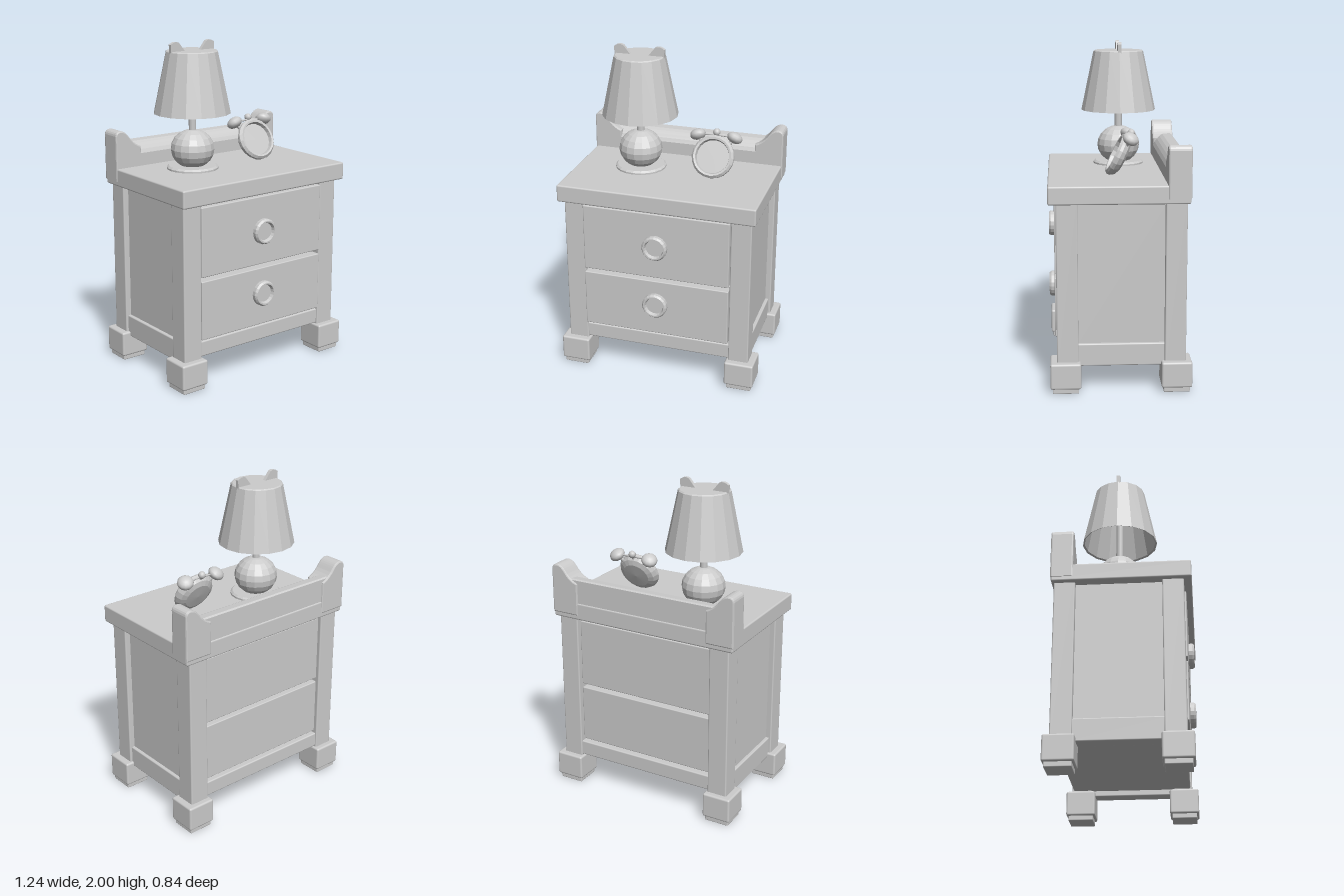
import * as THREE from 'three';
import { RoundedBoxGeometry } from 'three/addons/geometries/RoundedBoxGeometry.js';

const smooth = new THREE.MeshStandardMaterial({ color: 0xcccccc });
const flat = new THREE.MeshStandardMaterial({ color: 0xcccccc, flatShading: true });
const flatDouble = new THREE.MeshStandardMaterial({ color: 0xcccccc, flatShading: true, side: THREE.DoubleSide });

function add(parent, name, geometry, material = smooth, x = 0, y = 0, z = 0) {
  const mesh = new THREE.Mesh(geometry, material);
  mesh.name = name;
  mesh.position.set(x, y, z);
  parent.add(mesh);
  return mesh;
}

// Box with softened edges, given by its limits
function block(parent, name, [x0, x1], [y0, y1], [z0, z1], r = 0.008) {
  return add(parent, name, new RoundedBoxGeometry(x1 - x0, y1 - y0, z1 - z0, 2, r), smooth,
    (x0 + x1) / 2, (y0 + y1) / 2, (z0 + z1) / 2);
}

// Side limits, mirrored for side = -1
const span = (side, a, b) => (side > 0 ? [a, b] : [-b, -a]);
const lathe = (points, sides) => new THREE.LatheGeometry(points.map(p => new THREE.Vector2(...p)), sides);

function createCabinet() {
  const g = new THREE.Group();
  g.name = 'cabinet';
  for (const s of [-1, 1]) {
    // Posts on block feet
    for (const [label, foot, post] of [['front', [0.23, 0.41], [0.245, 0.37]], ['back', [-0.42, -0.24], [-0.385, -0.26]]]) {
      block(g, label + 'Foot', span(s, 0.44, 0.62), [0.03, 0.185], foot, 0.012);
      block(g, label + 'FootPad', span(s, 0.453, 0.607), [0, 0.04], [foot[0] + 0.013, foot[1] - 0.013], 0.006);
      block(g, label + 'Post', span(s, 0.455, 0.58), [0.17, 1.14], post);
    }
    block(g, 'sidePanel', span(s, 0.52, 0.545), [0.27, 1.14], [-0.28, 0.26], 0.004);
    block(g, 'sideRail', span(s, 0.47, 0.565), [0.155, 0.29], [-0.27, 0.255]);
  }
  block(g, 'frontRail', [-0.47, 0.47], [0.19, 0.285], [0.26, 0.36]);
  block(g, 'backRail', [-0.47, 0.47], [0.19, 0.285], [-0.375, -0.27]);
  block(g, 'bottomPanel', [-0.53, 0.53], [0.19, 0.21], [-0.35, 0.34], 0.004);
  block(g, 'tableTop', [-0.61, 0.61], [1.125, 1.232], [-0.4, 0.415], 0.01);

  // Drawers running the full depth, each with a round dished knob
  const knob = lathe([[0.078, -0.005], [0.078, 0.022], [0.069, 0.034], [0.06, 0.034], [0.053, 0.014], [0, 0.014]], 20);
  knob.rotateX(Math.PI / 2);
  for (const [y0, y1, ky] of [[0.3, 0.66, 0.5], [0.685, 1.105, 0.89]]) {
    block(g, 'drawer', [-0.46, 0.45], [y0, y1], [-0.36, 0.38], 0.006);
    add(g, 'drawerKnob', knob, flatDouble, -0.005, ky, 0.38);
  }

  // Back rail with a rounded front edge; shape x is -z
  const rail = new THREE.Shape();
  rail.moveTo(0.27, 1.2);
  rail.lineTo(0.395, 1.2);
  rail.lineTo(0.395, 1.375);
  rail.lineTo(0.385, 1.382);
  rail.lineTo(0.335, 1.378);
  rail.quadraticCurveTo(0.29, 1.36, 0.27, 1.31);
  const railGeo = new THREE.ExtrudeGeometry(rail, { depth: 1.18, bevelEnabled: false, curveSegments: 4 });
  railGeo.rotateY(Math.PI / 2);
  add(g, 'backBoard', railGeo, smooth, -0.59);

  // Raised corner pieces at both ends of the rail
  for (const s of [-1, 1]) {
    const ear = new THREE.Shape();
    ear.moveTo(s * 0.607, 1.16);
    ear.lineTo(s * 0.607, 1.43);
    ear.quadraticCurveTo(s * 0.604, 1.455, s * 0.575, 1.452);
    ear.quadraticCurveTo(s * 0.55, 1.448, s * 0.53, 1.42);
    ear.quadraticCurveTo(s * 0.495, 1.368, s * 0.445, 1.35);
    ear.lineTo(s * 0.445, 1.16);
    add(g, 'cornerEar', new THREE.ExtrudeGeometry(ear, {
      depth: 0.114, bevelThickness: 0.01, bevelSize: 0.008, bevelSegments: 2, curveSegments: 5,
    }), smooth, 0, 0, -0.394);
  }
  return g;
}

function createLamp() {
  const g = new THREE.Group();
  g.name = 'lamp';
  add(g, 'lampBase', lathe([[0, 0], [0.157, 0], [0.157, 0.012], [0.145, 0.022], [0, 0.022]], 20), flat, 0, 1.23);
  add(g, 'lampBall', new THREE.SphereGeometry(0.133, 16, 10), flat, 0, 1.352).scale.y = 0.9;
  add(g, 'lampStem', new THREE.CylinderGeometry(0.023, 0.023, 0.5, 10), smooth, 0, 1.69);
  add(g, 'lampShade', lathe([[0.222, 1.578], [0.233, 1.572], [0.156, 1.938], [0.148, 1.944], [0, 1.944]], 16), flatDouble);
  // Small ears on top of the shade
  for (const s of [-1, 1]) {
    const ear = new THREE.Shape();
    ear.moveTo(s * 0.155, 1.92);
    ear.lineTo(s * 0.157, 1.985);
    ear.quadraticCurveTo(s * 0.13, 2.008, s * 0.1, 1.995);
    ear.quadraticCurveTo(s * 0.075, 1.965, s * 0.055, 1.94);
    ear.lineTo(s * 0.055, 1.92);
    add(g, 'shadeEar', new THREE.ExtrudeGeometry(ear, { depth: 0.022, bevelEnabled: false, curveSegments: 4 }), smooth, 0, 0, -0.011);
  }
  g.position.set(-0.225, 0, -0.03);
  return g;
}

function createClock() {
  const g = new THREE.Group();
  g.name = 'alarmClock';
  // Body with a raised rim, sunken dial and domed back
  const body = lathe([[0, -0.038], [0.085, -0.034], [0.115, -0.02], [0.131, 0.005], [0.131, 0.022],
    [0.118, 0.036], [0.106, 0.034], [0.1, 0.012], [0, 0.012]], 20);
  body.rotateX(Math.PI / 2);
  add(g, 'clockBody', body, flatDouble);
  // Twin bells joined by a thin handle with a striker in the middle
  for (const s of [-1, 1]) {
    const bell = add(g, 'bell', new THREE.SphereGeometry(0.05, 12, 8), smooth, s * 0.115, 0.128, -0.006);
    bell.scale.y = 0.68;
    bell.rotation.z = -s * 0.35;
    const stem = add(g, 'bellStem', new THREE.CylinderGeometry(0.012, 0.012, 0.07, 8), smooth, s * 0.095, 0.1, -0.004);
    stem.rotation.z = -s * 0.6;
  }
  const arc = new THREE.QuadraticBezierCurve3(
    new THREE.Vector3(-0.1, 0.13, -0.006), new THREE.Vector3(0, 0.14, -0.006), new THREE.Vector3(0.1, 0.13, -0.006));
  add(g, 'bellBar', new THREE.TubeGeometry(arc, 8, 0.006, 6), smooth);
  add(g, 'strikerStem', new THREE.CylinderGeometry(0.009, 0.009, 0.04, 8), smooth, 0, 0.135, -0.006);
  add(g, 'striker', new THREE.SphereGeometry(0.023, 10, 8), smooth, 0, 0.152, -0.006);
  g.position.set(0.243, 1.351, -0.01);
  g.rotation.x = -0.45;
  return g;
}

export function createModel() {
  const model = new THREE.Group();
  model.name = 'nightstand';
  model.add(createCabinet(), createLamp(), createClock());
  return model;
}
